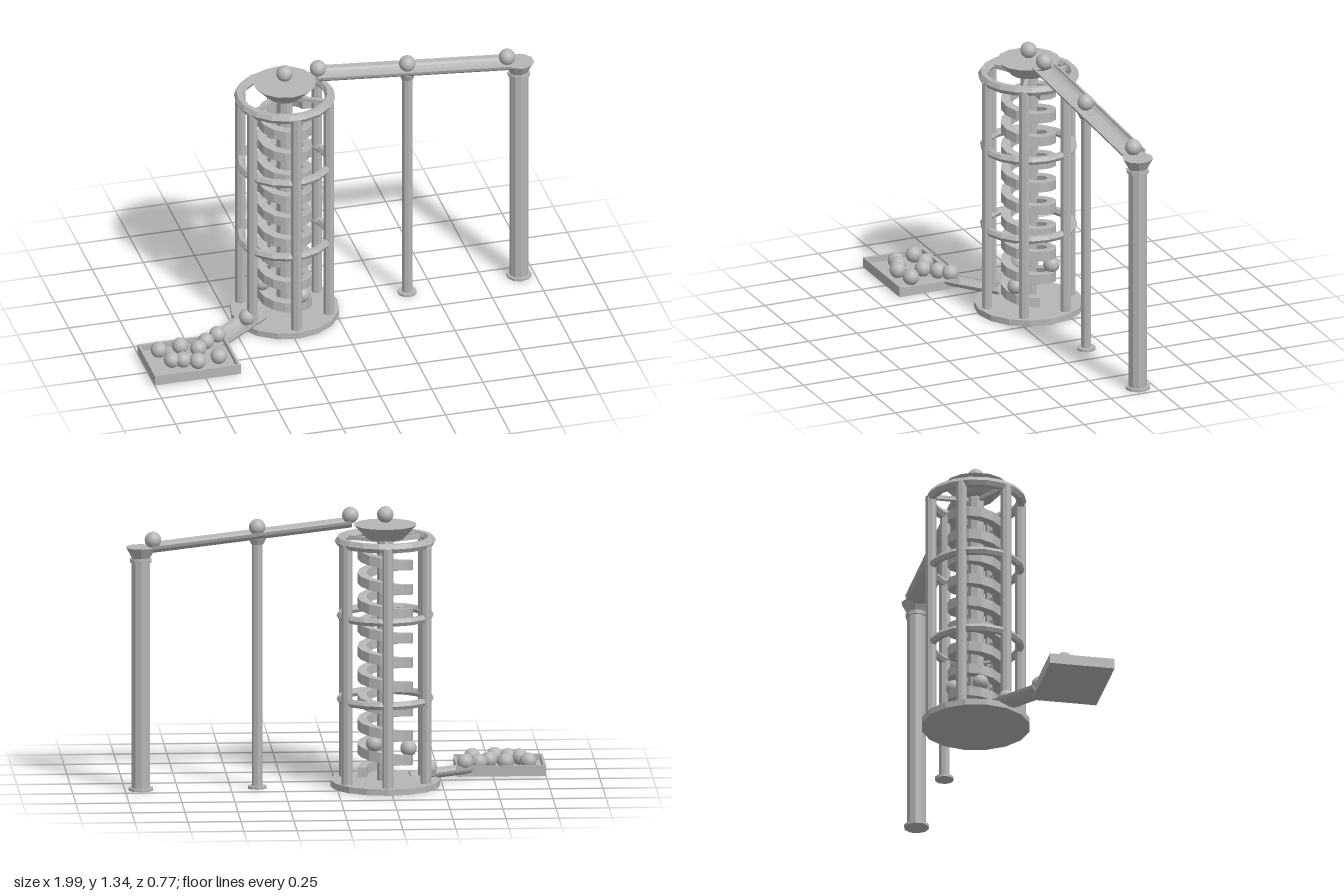
import * as THREE from 'three';

const grey = new THREE.MeshStandardMaterial({ color: 0xb6b6b6 });
grey.name = 'plain grey';

// faceted copy of a geometry
function faceted(geo) {
  const g = geo.index ? geo.toNonIndexed() : geo;
  g.computeVertexNormals();
  return g;
}

export function createModel() {
  const model = new THREE.Group();
  model.name = 'marbleRun';

  function add(parent, name, geo, x = 0, y = 0, z = 0) {
    const m = new THREE.Mesh(geo, grey);
    m.name = name;
    m.position.set(x, y, z);
    parent.add(m);
    return m;
  }
  // upright cylinder or cone between two heights
  function post(parent, name, x, z, y0, y1, rBottom, rTop, sides) {
    const g = faceted(new THREE.CylinderGeometry(rTop, rBottom, y1 - y0, sides));
    return add(parent, name, g, x, (y0 + y1) / 2, z);
  }
  // shallow curved channel, its rim running from a to b
  function channel(name, a, b, halfWidth, depth, wall) {
    const n = 8, pts = [];
    for (let i = 0; i <= n; i++) {
      const t = Math.PI * i / n;
      pts.push(new THREE.Vector2(-halfWidth * Math.cos(t), -depth * Math.sin(t)));
    }
    for (let i = n; i >= 0; i--) {
      const t = Math.PI * i / n;
      pts.push(new THREE.Vector2(-(halfWidth - wall) * Math.cos(t), -(depth - wall) * Math.sin(t)));
    }
    const geo = new THREE.ExtrudeGeometry(new THREE.Shape(pts),
      { depth: a.distanceTo(b), bevelEnabled: false });
    const m = add(model, name, faceted(geo), a.x, a.y, a.z);
    m.lookAt(b);
  }

  // tower, built around its own axis
  const tower = new THREE.Group();
  tower.name = 'tower';
  tower.position.set(-0.23, 0, -0.128);
  model.add(tower);
  post(tower, 'towerBase', 0, 0, 0, 0.03, 0.258, 0.258, 16);
  post(tower, 'centralColumn', 0, 0, 0.03, 1.19, 0.04, 0.04, 8);
  for (let i = 0; i < 6; i++) {
    const a = Math.PI / 2 + i * Math.PI / 3;
    post(tower, 'outerPost', 0.215 * Math.cos(a), 0.215 * Math.sin(a), 0.03, 1.175, 0.026, 0.026, 8);
  }
  for (const [y, r, t] of [[0.42, 0.21, 0.02], [0.82, 0.21, 0.02], [1.176, 0.215, 0.024]]) {
    const ring = faceted(new THREE.TorusGeometry(r, t, 6, 18).rotateX(Math.PI / 2));
    add(tower, 'hoopRing', ring, 0, y, 0);
  }
  for (let i = 0; i < 3; i++) {
    const g = new THREE.BoxGeometry(0.18, 0.02, 0.02).translate(0.125, 0, 0);
    add(tower, 'topSpoke', g, 0, 1.175, 0).rotation.y = Math.PI / 2 + i * Math.PI * 2 / 3;
  }
  post(tower, 'hopper', 0, 0, 1.185, 1.253, 0.085, 0.15, 14);

  // spiral ramp with a rectangular section, descending front to right to back
  const turns = 9, steps = turns * 14, yTop = 1.115, yEnd = 0.065;
  const section = [[0.088, -0.024], [0.132, -0.024], [0.132, 0.024], [0.088, 0.024]];
  const pos = [], idx = [];
  for (let i = 0; i <= steps; i++) {
    const a = -i / steps * turns * Math.PI * 2;
    const y = yTop + (yEnd - yTop) * i / steps;
    for (const [r, h] of section) pos.push(r * Math.cos(a), y + h, r * Math.sin(a));
    if (i === steps) break;
    for (let k = 0; k < 4; k++) {
      const p = i * 4 + k, q = i * 4 + (k + 1) % 4;
      idx.push(p, p + 4, q, q, p + 4, q + 4);
    }
  }
  const e = steps * 4;
  idx.push(0, 1, 2, 0, 2, 3, e, e + 2, e + 1, e, e + 3, e + 2);
  // the ends and sides share one winding: outward faces
  const ramp = new THREE.BufferGeometry();
  ramp.setAttribute('position', new THREE.Float32BufferAttribute(pos, 3));
  ramp.setIndex(idx);
  add(tower, 'spiralRamp', faceted(ramp));

  // feed channel and its two supports
  channel('feedChannel', new THREE.Vector3(-0.065, 1.28, -0.134),
    new THREE.Vector3(0.875, 1.176, -0.175), 0.063, 0.038, 0.009);
  post(model, 'middlePole', 0.375, -0.153, 0, 1.2, 0.025, 0.025, 8);
  post(model, 'middlePoleFoot', 0.375, -0.153, 0, 0.012, 0.045, 0.045, 10);
  post(model, 'middlePoleCap', 0.375, -0.153, 1.17, 1.2, 0.03, 0.044, 10);
  post(model, 'endPillar', 0.925, -0.172, 0, 1.13, 0.045, 0.045, 10);
  post(model, 'endPillarFoot', 0.925, -0.172, 0, 0.012, 0.06, 0.06, 10);
  post(model, 'endPillarCollar', 0.925, -0.172, 1.092, 1.108, 0.053, 0.053, 10);
  post(model, 'endPillarFunnel', 0.925, -0.172, 1.115, 1.165, 0.045, 0.073, 10);

  // exit chute and catch tray
  channel('exitChute', new THREE.Vector3(-0.38, 0.05, -0.07),
    new THREE.Vector3(-0.62, 0.044, 0.105), 0.06, 0.034, 0.009);
  const tray = new THREE.Group();
  tray.name = 'catchTray';
  tray.position.set(-0.79, 0, 0.225);
  model.add(tray);
  add(tray, 'trayFloor', new THREE.BoxGeometry(0.42, 0.02, 0.31), 0, 0.012, 0);
  for (const s of [-1, 1]) {
    add(tray, 'traySide', new THREE.BoxGeometry(0.42, 0.05, 0.012), 0, 0.027, s * 0.149);
    const h = s < 0 ? 0.05 : 0.044;
    add(tray, 'trayEnd', new THREE.BoxGeometry(0.012, h, 0.286), s * 0.204, 0.002 + h / 2, 0);
  }

  // marbles
  const marble = new THREE.SphereGeometry(0.039, 20, 14);
  const spots = [
    [-0.23, 1.3, -0.128], [-0.065, 1.3, -0.134], [0.375, 1.25, -0.15], [0.868, 1.198, -0.174],
    [-0.34, 0.18, -0.128], [-0.172, 0.14, -0.035], [-0.172, 0.22, -0.22], [-0.44, 0.065, -0.025],
    [-0.62, 0.067, 0.1],
  ];
  for (const [x, z] of [[-0.92, 0.155], [-0.813, 0.145], [-0.685, 0.135], [-0.737, 0.19],
    [-0.885, 0.262], [-0.833, 0.275], [-0.77, 0.305], [-0.663, 0.285]]) spots.push([x, 0.06, z]);
  for (const [x, y, z] of spots) add(model, 'marble', marble, x, y, z);

  return model;
}
